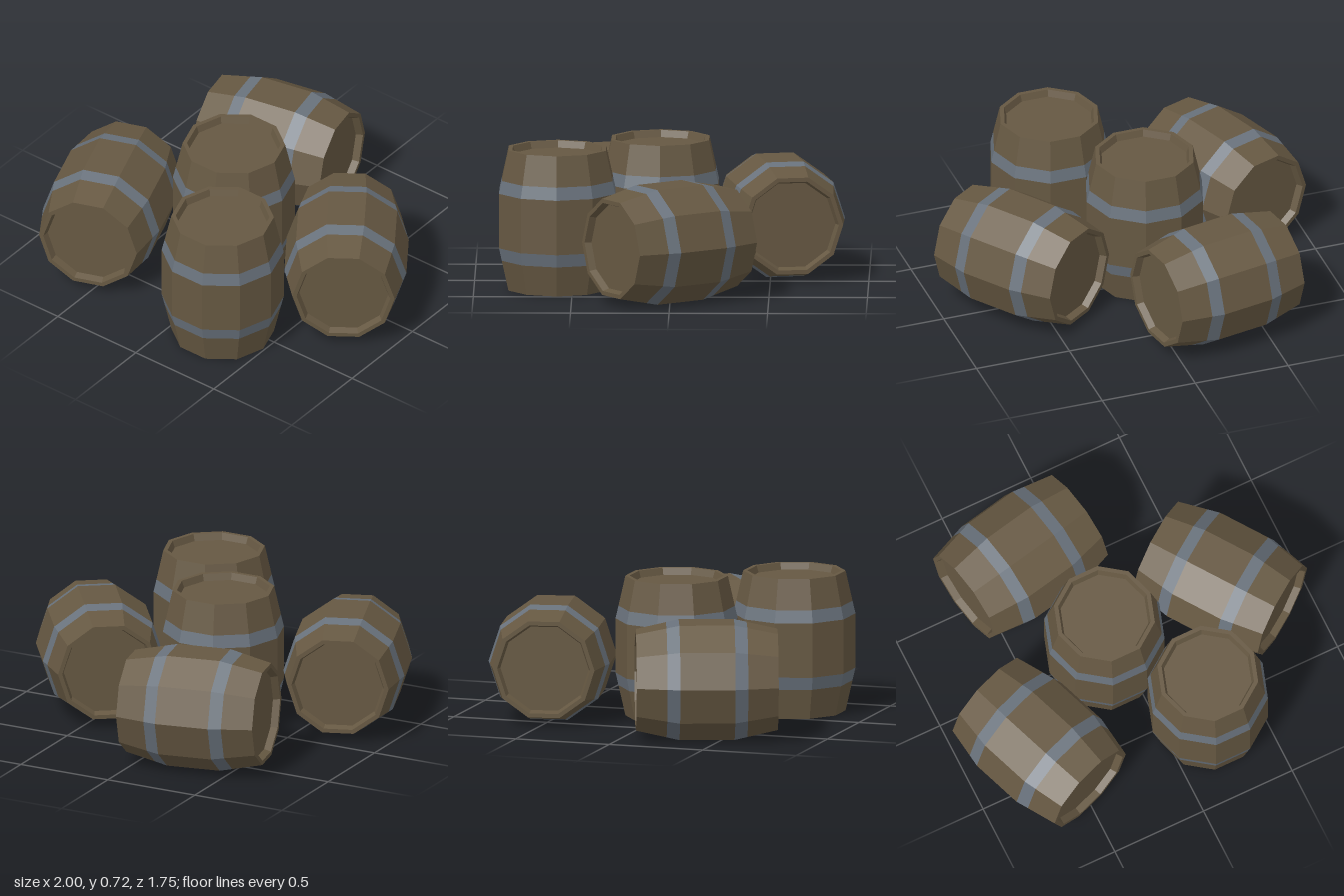
import * as THREE from 'three';

const SIDES = 10;
const HEIGHT = 0.72;
const wood = new THREE.MeshStandardMaterial({ name: 'dark oak', color: 0x665842 });
const iron = new THREE.MeshStandardMaterial({ name: 'blue grey iron', color: 0x69727c });

// Ten-sided faceted surface of revolution, with corners on the x axis
function turned(name, points, material) {
  const profile = points.map(([r, y]) => new THREE.Vector2(r, y - HEIGHT / 2));
  const geometry = new THREE.LatheGeometry(profile, SIDES, Math.PI / 2).toNonIndexed();
  geometry.computeVertexNormals();
  const mesh = new THREE.Mesh(geometry, material);
  mesh.name = name;
  return mesh;
}

// Mirror a profile about mid height, keeping it running upwards
const flip = (points) => points.map(([r, y]) => [r, HEIGHT - y]).reverse();

function createBarrel(name) {
  const barrel = new THREE.Group();
  barrel.name = name;

  const lid = [[0, 0.035], [0.226, 0.035]];
  const rim = [[0.226, 0.035], [0.238, 0], [0.26, 0], [0.295, 0.155]];
  const hoop = [[0.295, 0.155], [0.31, 0.22]];
  const belly = [[0.31, 0.22], [0.31, HEIGHT - 0.22]];

  barrel.add(
    turned('bottomLid', lid, wood),
    turned('bottomStaves', rim, wood),
    turned('bottomHoop', hoop, iron),
    turned('middleStaves', belly, wood),
    turned('topHoop', flip(hoop), iron),
    turned('topStaves', flip(rim), wood),
    turned('topLid', flip(lid), wood),
  );
  return barrel;
}

export function createModel() {
  const model = new THREE.Group();
  model.name = 'barrels';

  // Standing barrels: name, x, z
  for (const [name, x, z] of [
    ['centreBarrel', -0.1, 0.058],
    ['frontBarrel', 0.23, 0.577],
  ]) {
    const barrel = createBarrel(name);
    barrel.position.set(x, HEIGHT / 2, z);
    model.add(barrel);
  }

  // Barrels lying on a flat side: name, x, z, axis direction in x and z
  const apothem = 0.31 * Math.cos(Math.PI / SIDES);
  for (const [name, x, z, dx, dz] of [
    ['backBarrel', -0.28, -0.545, 0.7, -0.14],
    ['leftBarrel', 0.58, 0.003, 0.413, 0.585],
    ['rightBarrel', -0.634, 0.398, 0.247, 0.678],
  ]) {
    const barrel = createBarrel(name);
    barrel.rotation.set(Math.PI / 2, Math.atan2(dx, dz), 0, 'YXZ');
    barrel.position.set(x, apothem, z);
    model.add(barrel);
  }
  return model;
}
